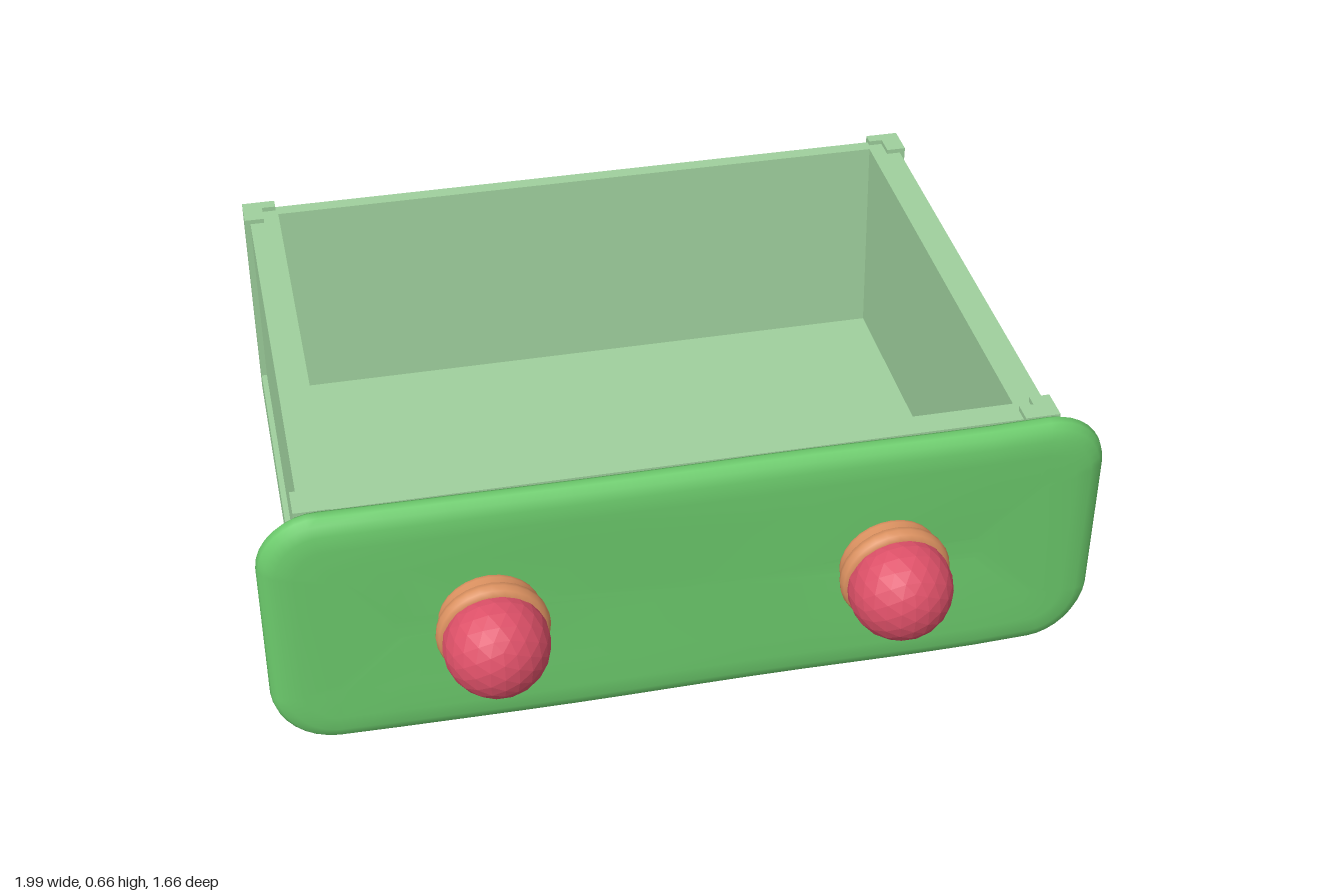
import * as THREE from 'three';

const paint = (name, color) => Object.assign(new THREE.MeshStandardMaterial({ color }), { name });

// Rounded rectangle outline, counter-clockwise seen from the front
function outline(hx, hy, r) {
  const pts = [];
  const corners = [[1, 1], [-1, 1], [-1, -1], [1, -1]];
  corners.forEach(([sx, sy], q) => {
    for (let i = 0; i <= 8; i++) {
      const a = (q + i / 8) * Math.PI / 2;
      pts.push([sx * (hx - r) + r * Math.cos(a), sy * (hy - r) + r * Math.sin(a)]);
    }
    // extra points along the long edges so the panel can bow
    if (q % 2 === 0) for (let i = 1; i < 12; i++) pts.push([sx * (hx - r) * (1 - i / 6), sy * hy]);
  });
  return pts;
}

// Pillow-like panel made of outlines that swell from the back to the front
function panelGeometry() {
  const profile = [[0.3, 0.572], [0.14, 0.568], [0.07, 0.552], [0.035, 0.547], [0.012, 0.553], [0, 0.572],
    [0.004, 0.588], [0.016, 0.602], [0.04, 0.611], [0.08, 0.614], [0.16, 0.612], [0.3, 0.61]];
  const pos = [], idx = [];
  const put = (x, y, z) => pos.push(x, y + 0.333 + 0.004 * (1 - x * x), z - 0.02 * x ** 6 + 0.002 * Math.sin(7 * x + 9 * y));
  let n = 0;
  for (const [inset, z] of profile) {
    const ring = outline(1 - inset, 0.33 - inset, Math.max(0.14 - inset * 0.8, 0.02));
    n = ring.length;
    for (const [x, y] of ring) put(x * (1 - 0.012 * (y / 0.33) ** 2), y, z);
  }
  const last = (profile.length - 1) * n, back = profile.length * n, front = back + 1;
  put(0, 0, 0.572);
  put(0, 0, 0.61);
  for (let j = 0; j < n; j++) {
    const k = (j + 1) % n;
    for (let i = 0; i < last; i += n) idx.push(i + j, i + k, i + n + k, i + j, i + n + k, i + n + j);
    idx.push(back, k, j, front, last + j, last + k);
  }
  const g = new THREE.BufferGeometry();
  g.setAttribute('position', new THREE.Float32BufferAttribute(pos, 3));
  g.setIndex(idx);
  g.computeVertexNormals();
  return g;
}

export function createModel() {
  const model = new THREE.Group();
  model.name = 'drawer';
  const pale = paint('pale green', 0x9fd09d);
  const green = paint('bright green', 0x6ccb6c);
  const red = paint('red', 0xdd5068);
  const orange = paint('orange', 0xdb9160);

  const add = (name, geo, mat, parent = model) => {
    const m = new THREE.Mesh(geo, mat);
    m.name = name;
    parent.add(m);
    return m;
  };
  const block = (name, x0, x1, y0, y1, z0, z1) =>
    add(name, new THREE.BoxGeometry(x1 - x0, y1 - y0, z1 - z0), pale)
      .position.set((x0 + x1) / 2, (y0 + y1) / 2, (z0 + z1) / 2);
  const shapeOf = pts => new THREE.Shape(pts.map(p => new THREE.Vector2(...p)));
  // Extrudes a plan given as [x, z] upwards from y0 to y1
  const rise = (name, shape, y0, y1) => {
    const g = new THREE.ExtrudeGeometry(shape, { depth: y1 - y0, bevelEnabled: false });
    add(name, g.rotateX(-Math.PI / 2).translate(0, y0, 0), pale);
  };
  const rect = (x, z0, z1) => [[-x, -z0], [x, -z0], [x, -z1], [-x, -z1]];

  // Base rail, a frame around the recessed floor
  const rail = shapeOf(rect(0.9, -0.83, 0.51));
  rail.holes.push(new THREE.Path(rect(0.82, -0.755, 0.425).map(p => new THREE.Vector2(...p))));
  rise('baseRail', rail, 0.035, 0.13);
  block('floor', -0.83, 0.83, 0.047, 0.08, -0.77, 0.44);

  // Corner posts with an L-shaped plan
  for (const s of [-1, 1]) {
    const post = (z, zIn, zEnd) => shapeOf([[0.9, z], [0.9, zEnd], [0.85, zEnd], [0.85, zIn], [0.815, zIn], [0.815, z]]
      .map(([x, w]) => [s * x, -w]));
    rise('frontPost', post(0.51, 0.46, 0.43), 0.13, 0.627);
    rise('backPost', post(-0.83, -0.8, -0.745), 0.13, 0.627);
    block('sideWall', s > 0 ? 0.81 : -0.886, s > 0 ? 0.886 : -0.81, 0.06, 0.615, -0.817, 0.497);
  }

  // Front and back walls, slightly thicker towards the floor
  const wall = (name, outer, top, bottom) => {
    const g = new THREE.ExtrudeGeometry(
      shapeOf([[-outer, 0.06], [-outer, 0.615], [-top, 0.615], [-bottom, 0.06]]),
      { depth: 1.64, bevelEnabled: false });
    add(name, g.rotateY(Math.PI / 2).translate(-0.82, 0, 0), pale);
  };
  wall('frontWall', 0.497, 0.432, 0.4);
  wall('backWall', -0.817, -0.78, -0.74);

  // Front panel
  add('frontPanel', panelGeometry(), green);

  // Knobs with ringed collars
  for (const x of [-0.482, 0.468]) {
    const knob = new THREE.Group();
    knob.name = 'knob';
    knob.position.set(x, 0.333, 0);
    model.add(knob);
    const ball = new THREE.IcosahedronGeometry(0.124, 3);
    const ballMat = red;
    ballMat.flatShading = true;
    add('knobBall', ball, ballMat, knob).position.z = 0.706;
    const profile = [[0.1, 0.59], [0.118, 0.6], [0.122, 0.62], [0.116, 0.636], [0.122, 0.64], [0.131, 0.65],
      [0.133, 0.663], [0.128, 0.677], [0.117, 0.685], [0.09, 0.685]].map(p => new THREE.Vector2(...p));
    const collar = add('knobCollar', new THREE.LatheGeometry(profile, 28).rotateX(Math.PI / 2), orange, knob);
    collar.position.y = 0.005;
  }
  return model;
}
